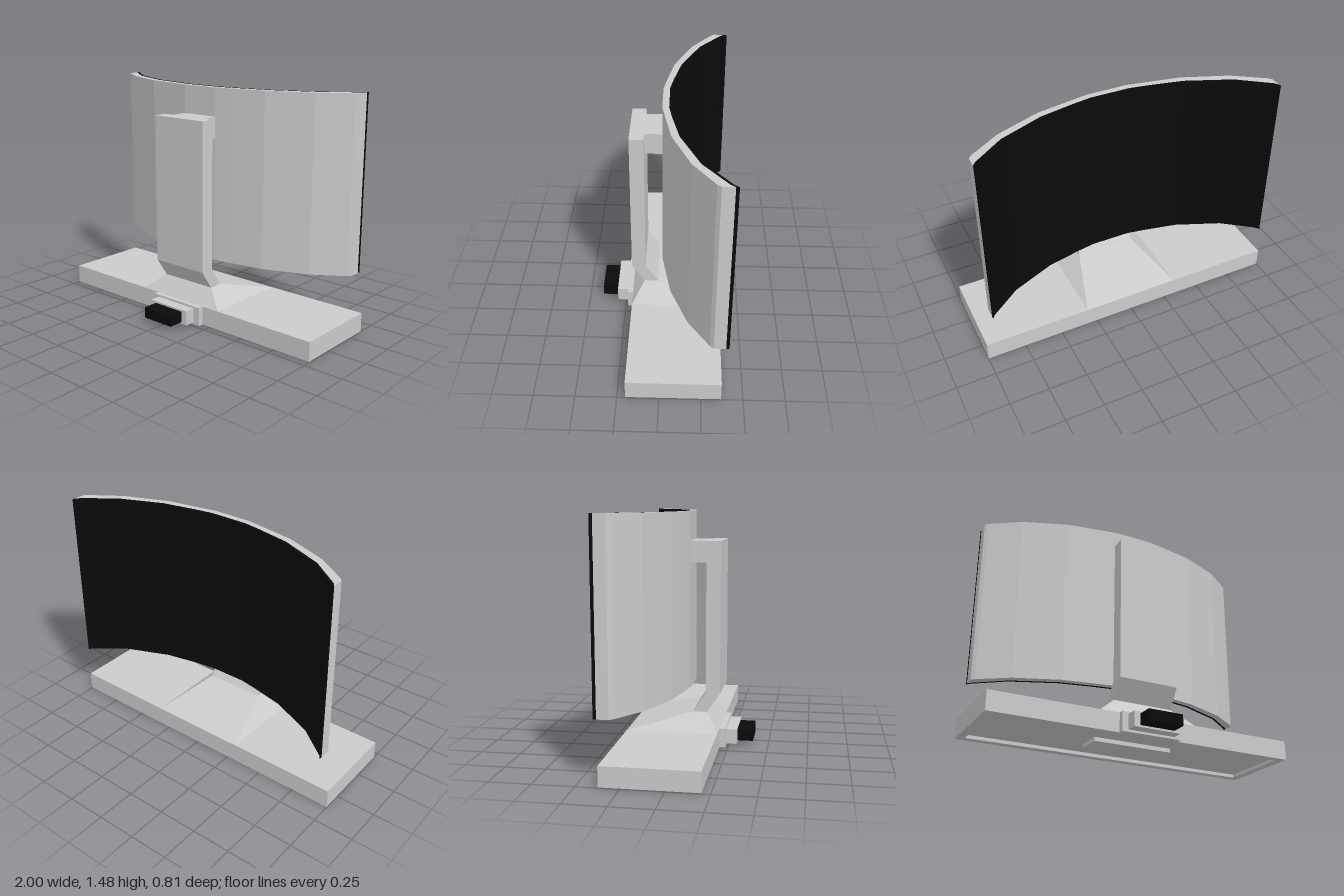
import * as THREE from 'three';

const grey = new THREE.MeshStandardMaterial({ color: 0xcccccc, flatShading: true });
const black = new THREE.MeshStandardMaterial({ color: 0x0a0a0a, flatShading: true });

export function createModel() {
  const model = new THREE.Group();

  const add = (name, geometry, material = grey) => {
    const mesh = new THREE.Mesh(geometry, material);
    mesh.name = name;
    model.add(mesh);
    return mesh;
  };

  // Box from its minimum and maximum corners
  const box = (name, [x0, y0, z0], [x1, y1, z1], material) => {
    const g = new THREE.BoxGeometry(x1 - x0, y1 - y0, z1 - z0);
    g.translate((x0 + x1) / 2, (y0 + y1) / 2, (z0 + z1) / 2);
    return add(name, g, material);
  };

  // Plan outline of [x, z] points raised from y0 to y1
  const toShape = (pts) => new THREE.Shape(pts.map(([x, z]) => new THREE.Vector2(x, -z)));
  const raise = (name, shape, y0, y1, material) => {
    const g = new THREE.ExtrudeGeometry(shape, { depth: y1 - y0, bevelEnabled: false });
    g.rotateX(-Math.PI / 2).translate(0, y0, 0);
    return add(name, g, material);
  };
  const rect = (x, z0, z1) => [[-x, z1], [x, z1], [x, z0], [-x, z0]];

  // Base slab with a shallow recess and a foot pad underneath
  box('baseSlab', [-1, 0.025, -0.37], [1, 0.125, 0.2]);
  const rim = toShape(rect(1, -0.37, 0.2));
  rim.holes.push(toShape(rect(0.95, -0.32, 0.15)));
  raise('baseRim', rim, 0.004, 0.025);
  box('footPad', [-0.26, 0, -0.16], [0.26, 0.025, 0]);

  // Sloped pedestal: a box whose top corners are pulled in
  const pedestal = new THREE.BoxGeometry(0.64, 0.105, 0.57);
  const pos = pedestal.attributes.position;
  for (let i = 0; i < pos.count; i++) {
    const top = pos.getY(i) > 0;
    const x = Math.sign(pos.getX(i)) * (top ? 0.195 : 0.318);
    const front = pos.getZ(i) > 0;
    const z = top ? (front ? 0.12 : 0.03) : (front ? 0.2 : -0.37);
    pos.setXYZ(i, x, top ? 0.23 : 0.125, z);
  }
  pedestal.computeVertexNormals();
  add('pedestal', pedestal);

  // Bent neck, side profile in [z, y]
  const profile = [[0.12, 0.23], [0.202, 0.35], [0.202, 1.3], [0.113, 1.3], [0.113, 0.35], [0.03, 0.23]];
  const neck = new THREE.ExtrudeGeometry(
    new THREE.Shape(profile.map(([z, y]) => new THREE.Vector2(-z, y))),
    { depth: 0.39, bevelEnabled: false });
  neck.rotateY(Math.PI / 2).translate(-0.195, 0, 0);
  add('neck', neck);
  box('screenMount', [-0.125, 1.165, -0.01], [0.125, 1.3, 0.113]);

  // Stepped plug on the front of the base
  box('plugPlate', [-0.195, 0.004, 0.2], [0.195, 0.125, 0.235]);
  box('plugHousing', [-0.155, 0.018, 0.235], [0.15, 0.112, 0.305]);
  box('plugTip', [-0.115, 0.03, 0.305], [0.11, 0.1, 0.405], black);

  // Curved screen: half curves in [x, z], mirrored across x = 0
  const mirror = (half) => [...half.map(([x, z]) => [-x, z]).reverse(), ...half];
  const shift = (pts, dz) => pts.map(([x, z]) => [x, z + dz]);
  const band = (a, b) => toShape([...a, ...[...b].reverse()]);
  const outer = mirror([[0.125, 0.005], [0.24, -0.015], [0.46, -0.055], [0.74, -0.165], [0.93, -0.293], [0.95, -0.315]]);
  const inner = mirror([[0.125, -0.035], [0.24, -0.054], [0.46, -0.1], [0.74, -0.217], [0.93, -0.36], [0.95, -0.386]]);
  const face = shift(inner, -0.019);
  const y0 = 0.37, y1 = 1.48, lip = 0.022;
  raise('screenShell', band(outer, inner), y0, y1);
  raise('bezelBottom', band(inner, face), y0, y0 + lip, black);
  raise('bezelTop', band(inner, face), y1 - lip, y1, black);
  for (const [name, from] of [['bezelRight', 0], ['bezelLeft', inner.length - 2]]) {
    raise(name, band(inner.slice(from, from + 2), face.slice(from, from + 2)), y0 + lip, y1 - lip, black);
  }
  raise('displayPanel', band(inner.slice(1, -1), shift(inner, -0.011).slice(1, -1)), y0 + lip, y1 - lip, black);

  return model;
}
